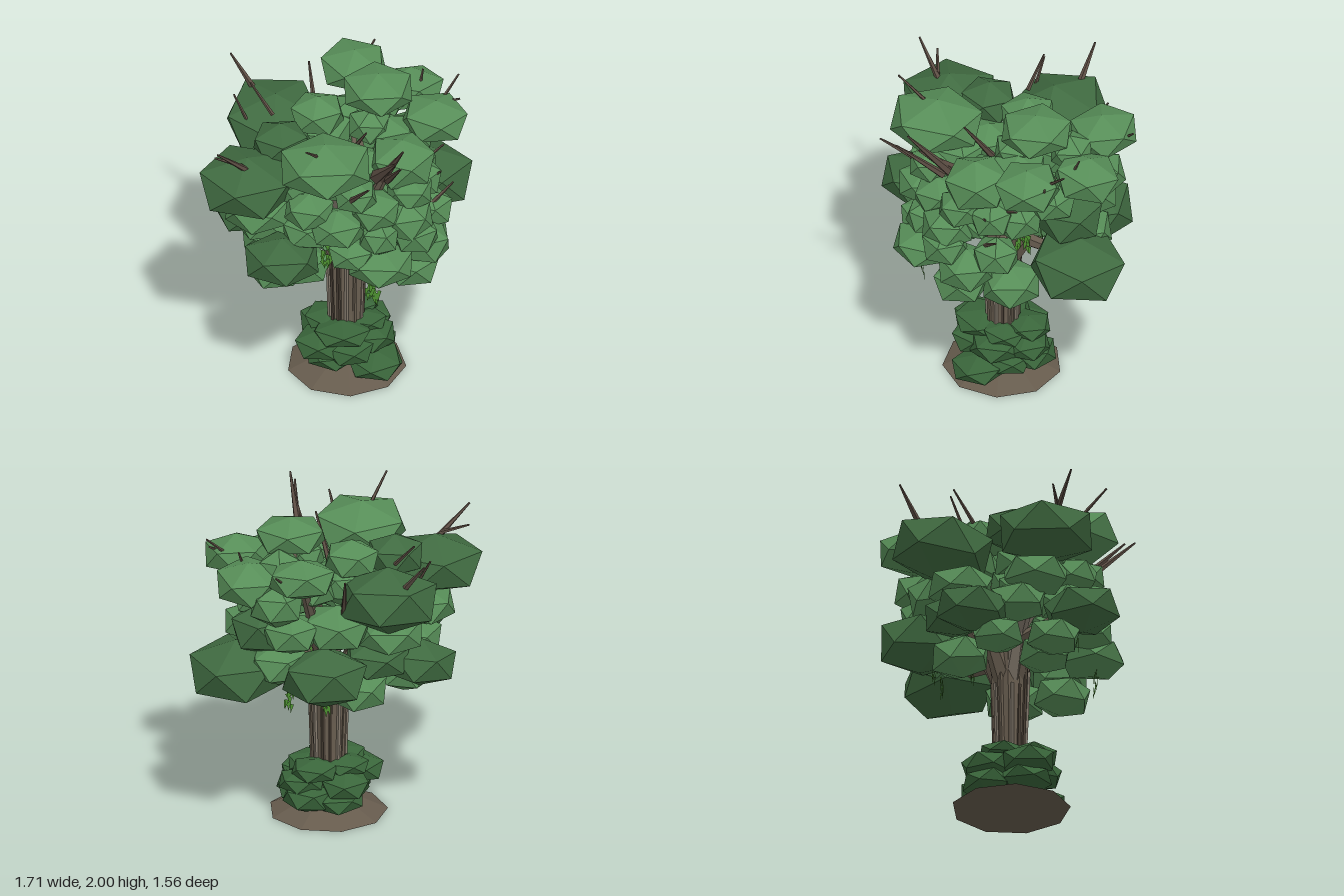
import * as THREE from 'three';

const mat = (name, color) => {
  const m = new THREE.MeshStandardMaterial({ color });
  m.name = name;
  return m;
};
const V = (p) => new THREE.Vector3(...p);
// Repeatable value in 0..1 for each index
const rnd = (i) => { const s = Math.sin(i * 12.9898 + 4.1) * 43758.5453; return s - Math.floor(s); };
const flat = (g) => { const n = g.index ? g.toNonIndexed() : g; n.computeVertexNormals(); return n; };

export function createModel() {
  const root = new THREE.Group();
  root.name = 'tree';
  const M = {
    light: mat('leaf green', 0x578e58),
    dark: mat('deep leaf green', 0x406b41),
    bush: mat('bush green', 0x3a663b),
    bark: mat('bark brown', 0x6a5f51),
    groove: mat('dark bark', 0x4a4036),
    pale: mat('pale bark', 0x857b6e),
    twig: mat('twig brown', 0x5c4d43),
    earth: mat('earth brown', 0x665b4d),
    vine: mat('vine green', 0x4c9030),
  };
  M.vine.side = THREE.DoubleSide;

  const group = (name) => { const g = new THREE.Group(); g.name = name; root.add(g); return g; };
  const add = (parent, name, geo, material) => {
    const m = new THREE.Mesh(geo, material);
    m.name = name;
    parent.add(m);
    return m;
  };

  // Icosahedron with a corner pointing up; ring radius scaled to about 1
  const ico = new THREE.IcosahedronGeometry(1, 0).rotateX(-Math.atan((1 + Math.sqrt(5)) / 2));
  ico.scale(1 / 0.9, 1, 1 / 0.9);
  let count = 0;
  const clump = (parent, name, material, [x, y, z, w, h]) => {
    const m = add(parent, name, ico, material);
    const i = ++count;
    m.position.set(x, y, z);
    m.scale.set(w, h, w);
    m.rotation.set((rnd(i + 70) - 0.5) * 0.2, rnd(i) * 6.28, (rnd(i + 140) - 0.5) * 0.2);
  };

  // Tapered limb between two points
  const limb = (parent, name, a, b, r0, r1, material, sides = 6) => {
    const p = V(a), d = V(b).sub(p);
    const g = new THREE.CylinderGeometry(r1, r0, d.length(), sides).translate(0, d.length() / 2, 0);
    const m = add(parent, name, flat(g), material);
    m.position.copy(p);
    m.quaternion.setFromUnitVectors(new THREE.Vector3(0, 1, 0), d.normalize());
  };

  // Ground mound
  const mound = add(root, 'mound', flat(new THREE.CylinderGeometry(0.1, 0.365, 0.12, 9)), M.earth);
  mound.position.set(0.055, 0.06, 0.02);

  // Ribbed trunk flaring towards the fork
  const trunk = group('trunk');
  const trunkR = (y) => 0.094 + 0.035 * y * y + 0.03 * Math.max(0, 0.3 - y);
  const onTrunk = (a, y, k = 1) =>
    [0.052 + Math.cos(a) * trunkR(y) * k, y, 0.015 + Math.sin(a) * trunkR(y) * k * 0.92];
  const tg = new THREE.CylinderGeometry(1, 1, 0.98, 20, 5).translate(0, 0.51, 0);
  const tp = tg.attributes.position;
  for (let i = 0; i < tp.count; i++) {
    const a = Math.atan2(tp.getZ(i), tp.getX(i));
    const k = (1 + 0.06 * Math.cos(a * 10)) * Math.hypot(tp.getX(i), tp.getZ(i));
    tp.setXYZ(i, ...onTrunk(a, tp.getY(i), k));
  }
  add(trunk, 'trunkCore', flat(tg), M.bark);
  // Bark strips lying on the trunk
  const stripColours = [M.groove, M.pale, M.bark, M.pale, M.groove];
  for (let i = 0; i < 13; i++) {
    const a = i * 0.483 + rnd(i) * 0.2, y0 = 0.15 + rnd(i + 9) * 0.25, y1 = 0.7 + rnd(i + 5) * 0.3;
    limb(trunk, 'barkStrip', onTrunk(a, y0), onTrunk(a, y1), 0.013, 0.012, stripColours[i % 5], 4);
  }

  // Main branches forking low, each bending once
  const branches = group('branches');
  [
    [[0.13, 1.1, 0.11], [0.27, 1.62, 0.36]],
    [[-0.13, 1.1, 0.09], [-0.52, 1.55, 0.27]],
    [[-0.11, 1.1, -0.1], [-0.36, 1.55, -0.36]],
    [[0.08, 1.12, -0.15], [0.14, 1.72, -0.55]],
    [[0.22, 1.1, -0.06], [0.56, 1.68, -0.1]],
    [[0.02, 1.15, 0.08], [-0.08, 1.7, 0.36]],
    [[0.2, 1.03, -0.12], [0.52, 1.1, -0.4]],
    [[0.08, 1.25, -0.04], [0.25, 1.76, -0.16]],
    [[-0.1, 1.06, 0.1], [-0.36, 1.12, 0.42]],
  ].forEach(([mid, end], i) => {
    const bark = i % 4 === 1 ? M.pale : M.bark;
    limb(branches, 'lowerBranch', [0.05, 0.74, 0.015], mid, 0.075, 0.045, bark);
    limb(branches, 'upperBranch', mid, end, 0.045, 0.025, bark);
  });

  // Bare twigs poking out of the crown
  const twigs = group('twigs');
  [
    [0.25, 1.56, 0.32, 0.36, 1.96, 0.62, 0.035], [0.22, 1.56, 0.3, 0.32, 1.82, 0.55, 0.045],
    [0.28, 1.6, 0.4, 0.34, 1.88, 0.69, 0.025], [0.04, 1.55, 0.08, 0.16, 1.86, 0.26, 0.022],
    [0.04, 1.56, 0.55, 0.14, 1.79, 0.77, 0.02], [-0.13, 1.8, 0.42, -0.23, 1.99, 0.63, 0.014],
    [-0.53, 1.64, 0.33, -0.76, 1.88, 0.46, 0.024], [-0.6, 1.72, 0.36, -0.77, 1.78, 0.35, 0.014],
    [-0.45, 1.66, -0.48, -0.61, 1.89, -0.6, 0.024], [-0.38, 1.72, -0.17, -0.51, 1.89, -0.28, 0.014],
    [-0.52, 1.62, -0.22, -0.61, 1.8, -0.29, 0.012], [0.18, 1.72, -0.66, 0.28, 1.84, -0.76, 0.014],
    [-0.1, 1.5, -0.45, -0.13, 1.78, -0.64, 0.02], [0.6, 1.7, -0.17, 0.76, 1.88, -0.3, 0.014],
    [0.62, 1.74, -0.2, 0.76, 1.78, -0.18, 0.014], [0.52, 1.72, -0.36, 0.55, 1.85, -0.41, 0.012],
    [0.48, 1.45, 0.05, 0.65, 1.56, -0.02, 0.016], [0.54, 1.24, 0.18, 0.7, 1.37, 0.11, 0.016],
    [0.5, 1.35, 0.1, 0.62, 1.5, 0.18, 0.014],
  ].forEach((t) => limb(twigs, 'twig', t.slice(0, 3), t.slice(3, 6), t[6], 0.006, M.twig, 5));

  // Crown: x, y, z, half width, half height
  const crown = group('crown');
  const darkClumps = [
    [-0.57, 1.55, 0.29, 0.29, 0.185], [-0.36, 1.56, -0.36, 0.3, 0.21], [-0.35, 1.68, 0.07, 0.17, 0.14],
    [0.56, 1.08, -0.4, 0.29, 0.2], [0.01, 1.1, -0.52, 0.26, 0.19], [-0.37, 1.11, 0.49, 0.23, 0.145],
    [-0.53, 1.08, -0.16, 0.22, 0.15], [0.4, 1.34, -0.36, 0.2, 0.17], [-0.28, 1.15, -0.28, 0.2, 0.13],
  ];
  const lightLarge = [
    [-0.1, 1.73, 0.41, 0.28, 0.155], [0.26, 1.88, -0.17, 0.215, 0.12], [0.14, 1.77, -0.59, 0.205, 0.125],
    [-0.11, 1.73, -0.15, 0.165, 0.13], [0.6, 1.71, -0.09, 0.2, 0.13], [0.48, 1.68, -0.46, 0.2, 0.14],
    [0.38, 1.6, 0.2, 0.2, 0.165], [-0.5, 1.3, 0.22, 0.2, 0.125], [0.23, 1.06, 0.5, 0.2, 0.115],
    [0.5, 1.06, 0.28, 0.17, 0.14], [0.43, 0.91, 0.3, 0.17, 0.13], [0.5, 0.92, 0, 0.18, 0.135],
  ];
  const lightSmall = [
    [0.12, 1.6, -0.33, 0.15, 0.13], [-0.05, 1.42, 0.08, 0.18, 0.14], [0.2, 1.53, 0.14, 0.14, 0.12],
    [-0.31, 1.52, 0.28, 0.13, 0.13], [-0.03, 1.32, 0.48, 0.17, 0.12], [-0.2, 1.42, 0.42, 0.15, 0.12],
    [0.22, 1.25, 0.5, 0.12, 0.12], [0.4, 1.3, 0.38, 0.16, 0.14], [0.56, 1.18, 0.1, 0.14, 0.13],
    [0.5, 1.42, 0.12, 0.13, 0.13], [0.2, 1.4, 0.42, 0.15, 0.12], [0.08, 1.54, 0.46, 0.13, 0.11],
    [-0.4, 0.93, 0.32, 0.16, 0.12], [-0.22, 0.9, 0.25, 0.16, 0.125], [-0.16, 0.93, -0.27, 0.18, 0.14],
    [0.46, 1.38, -0.04, 0.15, 0.13], [0.45, 1.5, -0.25, 0.15, 0.13], [0.3, 1.57, -0.55, 0.16, 0.14],
    [0.22, 1.37, -0.5, 0.17, 0.13], [-0.05, 1.38, -0.4, 0.2, 0.15], [-0.36, 1.3, -0.25, 0.2, 0.13],
    [-0.2, 1.24, 0.38, 0.16, 0.12], [-0.45, 1.15, 0.1, 0.18, 0.13], [0.3, 1.15, -0.45, 0.18, 0.14],
    [0.3, 1.75, -0.38, 0.13, 0.12], [0.05, 1.14, 0.5, 0.14, 0.1], [0.45, 1.2, 0.4, 0.14, 0.13],
    [-0.42, 0.95, -0.02, 0.16, 0.12], [0.42, 1.45, 0.3, 0.14, 0.12], [0.02, 1.57, 0.28, 0.15, 0.13],
  ];
  // Inner clumps closing the gaps between the outer ones
  const inner = [
    [0.3, 1.62, -0.06, 0.17, 0.13], [0.28, 1.42, 0.1, 0.17, 0.13], [-0.12, 1.55, 0.1, 0.17, 0.13],
    [-0.06, 1.58, -0.2, 0.16, 0.13], [0.32, 1.3, 0.22, 0.16, 0.13], [-0.2, 1.35, 0.12, 0.16, 0.12],
    [0.2, 1.7, -0.05, 0.13, 0.12], [-0.06, 1.13, 0.27, 0.15, 0.1],
  ];
  darkClumps.forEach((c) => clump(crown, 'darkLeafClump', M.dark, c));
  lightLarge.forEach((c) => clump(crown, 'leafClump', M.light, c));
  lightSmall.forEach((c) => clump(crown, 'smallLeafClump', M.light, c));
  inner.forEach((c) => clump(crown, 'innerLeafClump', M.light, c));

  // Flat bushes around the foot of the trunk
  const bushes = group('bushes');
  [
    [0.02, 0.31, 0.13, 0.18, 0.07], [0.12, 0.32, -0.13, 0.14, 0.07], [0.19, 0.24, 0.07, 0.16, 0.09],
    [-0.11, 0.24, 0.14, 0.16, 0.09], [0.06, 0.22, 0.18, 0.15, 0.09], [0.22, 0.11, 0.17, 0.17, 0.08],
    [-0.04, 0.15, 0.12, 0.16, 0.07], [0.16, 0.15, -0.15, 0.15, 0.1], [-0.07, 0.23, -0.12, 0.15, 0.09],
    [0.2, 0.24, -0.12, 0.14, 0.08], [-0.03, 0.13, -0.12, 0.15, 0.08], [-0.06, 0.32, -0.02, 0.14, 0.06],
    [0.17, 0.31, 0.02, 0.13, 0.06], [0.22, 0.15, 0, 0.14, 0.08],
  ].forEach((c) => clump(bushes, 'bush', M.bush, c));

  // Hanging vines: rows of thin leaf triangles, with position and facing
  const vines = group('vines');
  const leaf = new THREE.ShapeGeometry(new THREE.Shape([
    new THREE.Vector2(-0.013, 0), new THREE.Vector2(0, -0.06), new THREE.Vector2(0.013, 0)]));
  [
    [0.165, 0.97, 0.53, 0], [0.2, 0.92, 0.52, 0], [-0.1, 1.15, 0.43, 0], [-0.06, 1.14, 0.43, 0],
    [0.29, 1.16, -0.06, 1.4], [0.29, 1.15, -0.11, 1.4], [0.02, 0.97, -0.44, 0.3], [0.24, 0.98, -0.42, 0.3],
    [0.08, 1.0, -0.22, 0.3], [-0.04, 1.0, -0.2, 0.3],
  ].forEach(([x, y, z, turn], v) => {
    for (let i = 0; i < 11; i++) {
      const m = add(vines, 'vineLeaf', leaf, M.vine);
      const s = i + v * 20;
      m.position.set(x + (rnd(s) - 0.5) * 0.05, y - i * 0.011, z + (rnd(s + 3) - 0.5) * 0.03);
      m.rotation.set(0, turn + (rnd(s + 8) - 0.5) * 0.5, (rnd(s + 11) - 0.5) * 0.6);
    }
  });

  return root;
}
